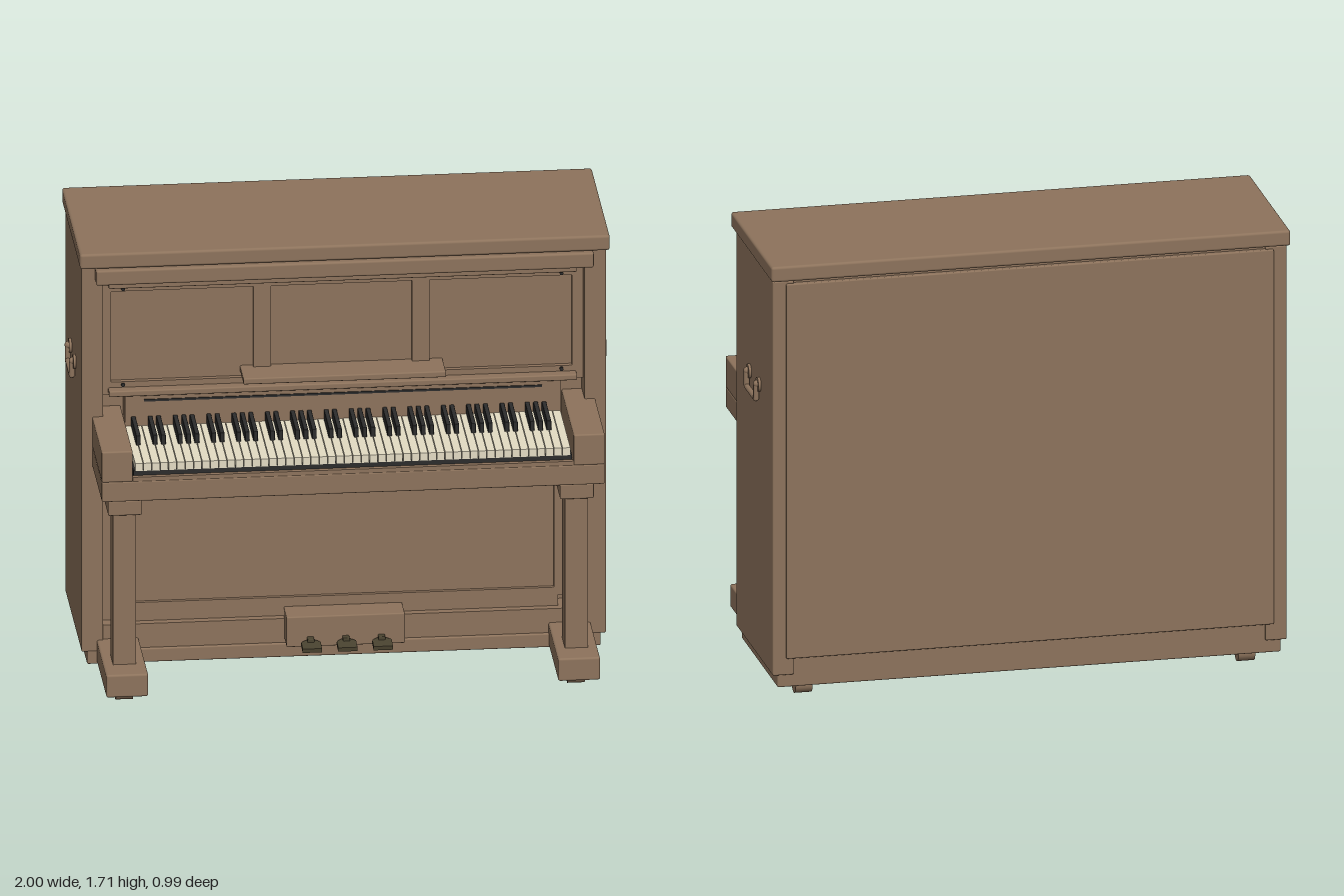
import * as THREE from 'three';
import { RoundedBoxGeometry } from 'three/addons/geometries/RoundedBoxGeometry.js';

const mat = (name, color) => {
  const m = new THREE.MeshStandardMaterial({ color });
  m.name = name;
  return m;
};

export function createModel() {
  const wood = mat('walnut wood', 0x8d735c);
  const ivory = mat('ivory', 0xe4dcc4);
  const ebony = mat('ebony', 0x2c2c2c);
  const bronze = mat('dark bronze', 0x4a4330);
  const piano = new THREE.Group();
  piano.name = 'uprightPiano';

  const add = (name, geo, material, x = 0, y = 0, z = 0, parent = piano) => {
    const m = new THREE.Mesh(geo, material);
    m.name = name;
    m.position.set(x, y, z);
    parent.add(m);
    return m;
  };
  // Box given by its limits on each axis; r > 0 softens the edges
  const box = (name, x0, x1, y0, y1, z0, z1, material = wood, r = 0, parent = piano) => {
    const w = x1 - x0, h = y1 - y0, d = z1 - z0;
    const geo = r ? new RoundedBoxGeometry(w, h, d, 2, r) : new THREE.BoxGeometry(w, h, d);
    return add(name, geo, material, (x0 + x1) / 2, (y0 + y1) / 2, (z0 + z1) / 2, parent);
  };
  // Board with rectangular openings, extruded towards the front
  const frame = (name, x0, x1, y0, y1, z0, z1, holes) => {
    const rect = (P, a, b, c, d) => {
      const p = new P();
      p.moveTo(a, c); p.lineTo(b, c); p.lineTo(b, d); p.lineTo(a, d); p.closePath();
      return p;
    };
    const s = rect(THREE.Shape, x0, x1, y0, y1);
    holes.forEach(h => s.holes.push(rect(THREE.Path, ...h)));
    return add(name, new THREE.ExtrudeGeometry(s, { depth: z1 - z0, bevelEnabled: false }), wood, 0, 0, z0);
  };

  // Case
  box('lid', -0.985, 0.985, 1.645, 1.705, -0.495, 0.185, wood, 0.01);
  box('lidSeat', -0.95, 0.95, 1.62, 1.65, -0.46, 0.13);
  box('cornice', -0.925, 0.925, 1.58, 1.64, 0.02, 0.19, wood, 0.008);
  box('core', -0.9, 0.9, 0.1, 1.63, -0.46, 0.03);
  box('plinth', -0.955, 0.955, 0.055, 0.11, -0.46, 0.14, wood, 0.006);
  for (const s of [-1, 1]) {
    box('sidePanel', s * 0.935 - 0.04, s * 0.935 + 0.04, 0.105, 1.64, -0.47, 0.14, wood, 0.005);
  }
  box('backPanel', -0.925, 0.925, 0.17, 1.63, -0.48, -0.44, wood, 0.005);

  // Upper front with three sunken panels
  frame('upperFrame', -0.895, 0.895, 1.1, 1.6, 0.02, 0.075,
    [[-0.86, -0.33, 1.15, 1.51], [-0.265, 0.26, 1.15, 1.51], [0.325, 0.855, 1.15, 1.51]]);
  box('upperPanels', -0.87, 0.87, 1.14, 1.52, 0.02, 0.055);
  box('upperRail', -0.87, 0.87, 1.53, 1.555, 0.07, 0.1, wood, 0.005);
  box('lowerRail', -0.87, 0.87, 1.105, 1.128, 0.07, 0.115, wood, 0.005);
  box('musicShelf', -0.378, 0.375, 1.166, 1.19, 0.05, 0.19, wood, 0.005);
  for (const x of [-0.815, 0.815]) for (const y of [1.521, 1.139]) {
    const pin = add('pin', new THREE.CylinderGeometry(0.007, 0.007, 0.012, 12), ebony, x, y, 0.078);
    pin.rotation.x = Math.PI / 2;
  }

  // Lower front with one sunken panel
  frame('lowerFrame', -0.82, 0.82, 0.25, 0.83, 0.03, 0.105, [[-0.785, 0.785, 0.28, 0.735]]);
  box('lowerPanel', -0.79, 0.79, 0.27, 0.74, 0.03, 0.09);
  box('lowerPanelMoulding', -0.82, 0.82, 0.752, 0.768, 0.09, 0.115);
  box('bottomRail', -0.895, 0.895, 0.1, 0.205, 0.02, 0.13);
  box('bottomRailCap', -0.8, 0.8, 0.2, 0.25, 0.02, 0.1);
  for (const s of [-1, 1]) box('pilaster', s * 0.865 - 0.03, s * 0.865 + 0.03, 0.2, 0.85, 0.02, 0.08);

  // Key bed, cheeks and fallboard
  box('keyBed', -0.935, 0.935, 0.84, 0.92, 0.03, 0.495, wood, 0.006);
  box('keySlip', -0.82, 0.82, 0.915, 0.935, 0.475, 0.493);
  box('keyFelt', -0.815, 0.815, 0.918, 0.953, 0.09, 0.472, ebony);
  box('fallboard', -0.81, 0.81, 0.92, 1.105, 0.02, 0.1);
  box('fallboardSlot', -0.74, 0.74, 1.079, 1.087, 0.099, 0.104, ebony);
  for (const s of [-1, 1]) {
    box('cheek', s * 0.8775 - 0.0575, s * 0.8775 + 0.0575, 0.918, 1.04, 0.03, 0.495, wood, 0.006);
  }

  // Fifty-two white keys starting on A, black keys after A, C, D, F and G
  const keys = new THREE.Group();
  keys.name = 'keyboard';
  piano.add(keys);
  const pitch = 1.62 / 52;
  for (let i = 0; i < 52; i++) {
    const x = -0.81 + i * pitch;
    box('whiteKey', x + 0.0012, x + pitch - 0.0012, 0.952, 0.982, 0.09, 0.474, ivory, 0, keys);
    if (i < 51 && [0, 2, 3, 5, 6].includes(i % 7)) {
      const c = x + pitch;
      box('blackKey', c - 0.0085, c + 0.0085, 0.975, 1.02, 0.09, 0.293, ebony, 0.003, keys);
    }
  }

  // Front legs on long feet, and casters
  for (const s of [-1, 1]) {
    const x = s * 0.84;
    const b = (name, hw, ...r) => box(name, x - hw, x + hw, ...r);
    b('foot', 0.078, 0.06, 0.15, 0.1, 0.495, wood, 0.008);
    b('frontLeg', 0.043, 0.145, 0.755, 0.285, 0.39);
    b('legCapital', 0.063, 0.75, 0.81, 0.265, 0.41, wood, 0.006);
    b('legTop', 0.045, 0.805, 0.818, 0.288, 0.39);
    for (const z of [0.355, -0.365]) {
      const wheel = add('caster', new THREE.CylinderGeometry(0.035, 0.035, 0.064, 24), wood, x, 0.035, z);
      wheel.rotation.z = Math.PI / 2;
    }
  }

  // Pedal box and three pedals
  box('pedalBox', -0.22, 0.22, 0.122, 0.242, 0.1, 0.212, wood, 0.005);
  const paddle = new THREE.Shape();
  paddle.moveTo(-0.012, 0);
  [[0.012, 0], [0.012, -0.08], [0.036, -0.1], [0.036, -0.155], [-0.036, -0.155], [-0.036, -0.1], [-0.012, -0.08]]
    .forEach(p => paddle.lineTo(...p));
  const pedalGeo = new THREE.ExtrudeGeometry(paddle, { depth: 0.016, bevelEnabled: false });
  pedalGeo.rotateX(-Math.PI / 2);
  for (const x of [-0.132, 0, 0.132]) {
    const pedal = add('pedal', pedalGeo, bronze, x, 0.144, 0.135);
    pedal.rotation.x = 0.1;
    box('pedalArm', x - 0.013, x + 0.013, 0.136, 0.162, 0.2, 0.24, bronze, 0.004);
  }

  // Carrying handles on both sides
  for (const s of [-1, 1]) {
    const v = (x, y, z) => new THREE.Vector3(s * x, y, z);
    const path = new THREE.CurvePath();
    const pts = [v(0.988, 1.175, -0.09), v(0.988, 1.115, -0.09), v(0.988, 1.115, -0.25), v(0.988, 1.175, -0.25)];
    for (let i = 0; i < 3; i++) path.add(new THREE.LineCurve3(pts[i], pts[i + 1]));
    add('handleBar', new THREE.TubeGeometry(path, 48, 0.011, 10), wood);
    for (const z of [-0.09, -0.25]) {
      const rose = add('handleRosette', new THREE.CylinderGeometry(0.027, 0.027, 0.012, 24), wood, s * 0.979, 1.172, z);
      rose.rotation.z = Math.PI / 2;
      add('handleKnob', new THREE.SphereGeometry(0.014, 12, 8), wood, s * 0.986, 1.175, z);
    }
  }
  return piano;
}
